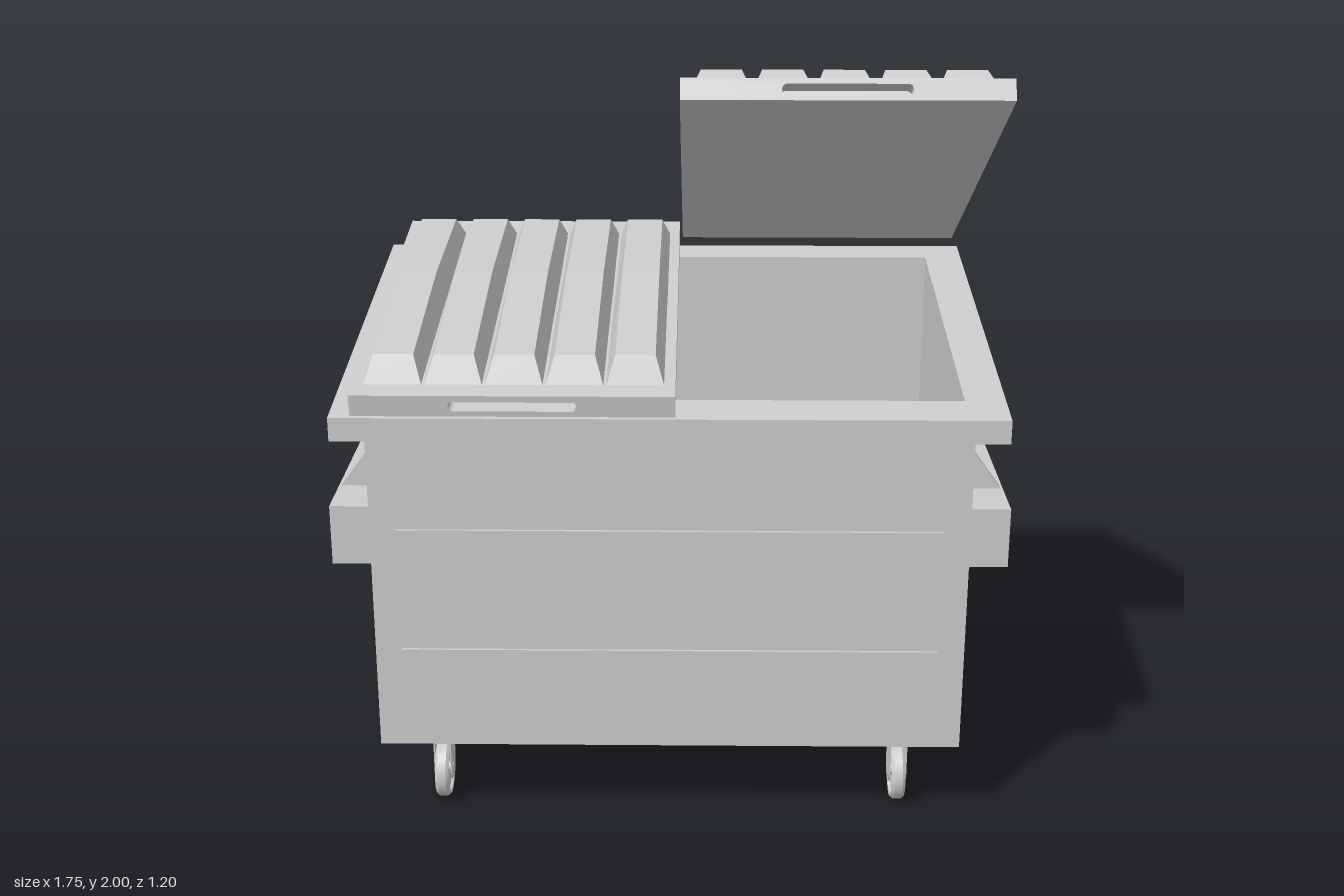
import * as THREE from 'three';
import { toCreasedNormals } from 'three/addons/utils/BufferGeometryUtils.js';

const mat = new THREE.MeshStandardMaterial({ color: 0xcccccc, side: THREE.DoubleSide });
const SLOPE = 0.13;                       // the top falls toward the front
const topY = z => 1.25 - SLOPE * z;

function add(parent, name, geo, x = 0, y = 0, z = 0) {
  const m = new THREE.Mesh(geo, mat);
  m.name = name;
  m.position.set(x, y, z);
  parent.add(m);
  return m;
}

function polygon(points) {
  return new THREE.Shape(points.map(p => new THREE.Vector2(p[0], p[1])));
}

const rect = (x0, y0, x1, y1) => [[x0, y0], [x1, y0], [x1, y1], [x0, y1]];

// Rectangular ring in plan, standing from 0 to h
function ring(halfX, zBack, zFront, h) {
  const s = polygon(rect(-halfX, -zFront, halfX, -zBack));
  s.holes.push(polygon(rect(-0.75, -0.49, 0.75, 0.465)));
  const g = new THREE.ExtrudeGeometry(s, { depth: h, bevelEnabled: false });
  return g.rotateX(-Math.PI / 2);
}

// Replace each vertex height by a rule of height and depth
function reheight(g, rule) {
  const p = g.attributes.position;
  for (let i = 0; i < p.count; i++) p.setY(i, rule(p.getY(i), p.getZ(i)));
  g.computeVertexNormals();
  return g;
}

// Raised lid rib: three trapezoid sections lofted along z
function ribGeometry() {
  const sections = [[0.095, 0.14, 0.117], [0.605, 0.605, 0.141], [1.145, 1.095, 0.12]];
  const pos = [], idx = [];
  for (const [zBase, zTop, y] of sections) {
    pos.push(-0.075, 0.05, zBase, -0.051, y, zTop, 0.051, y, zTop, 0.075, 0.05, zBase);
  }
  for (let s = 0; s < 2; s++) {
    for (let k = 0; k < 3; k++) {
      const a = s * 4 + k, b = a + 1, c = a + 4, d = a + 5;
      idx.push(a, c, b, b, c, d);
    }
  }
  idx.push(0, 1, 2, 0, 2, 3, 8, 10, 9, 8, 11, 10);
  const g = new THREE.BufferGeometry();
  g.setAttribute('position', new THREE.Float32BufferAttribute(pos, 3));
  g.setIndex(idx);
  const flat = g.toNonIndexed();
  flat.computeVertexNormals();
  return flat;
}

// Lid hinged at its rear lower edge, running forward along +z
function makeLid(name) {
  const lid = new THREE.Group();
  lid.name = name;
  const W = 0.815, L = 1.205, T = 0.057, lip = 0.05;
  add(lid, 'lidPanel', new THREE.BoxGeometry(W, T, L - lip), 0, T / 2, (L - lip) / 2);
  // front lip with a rounded grip slot
  const s = polygon(rect(-W / 2, 0, W / 2, T));
  const slot = new THREE.Path(), r = 0.014, hx = 0.146;
  slot.absarc(hx, T / 2, r, -Math.PI / 2, Math.PI / 2, false);
  slot.absarc(-hx, T / 2, r, Math.PI / 2, Math.PI * 1.5, false);
  slot.closePath();
  s.holes.push(slot);
  add(lid, 'lidGripEdge', new THREE.ExtrudeGeometry(s, { depth: lip, bevelEnabled: false, curveSegments: 8 }), 0, 0, L - lip);
  const rib = ribGeometry();
  for (let i = -2; i <= 2; i++) add(lid, 'lidRib', rib, i * 0.153, 0, 0);
  return lid;
}

function makeCaster() {
  const caster = new THREE.Group();
  caster.name = 'caster';
  const R = 0.081;
  const profile = [[0, -0.011], [0.064, -0.011], [0.067, -0.018], [0.074, -0.019], [R, -0.011],
    [R, 0.011], [0.074, 0.019], [0.067, 0.018], [0.064, 0.011], [0, 0.011]];
  const wheel = new THREE.LatheGeometry(profile.map(p => new THREE.Vector2(p[0], p[1])), 32);
  add(caster, 'wheel', toCreasedNormals(wheel.rotateZ(Math.PI / 2), 0.6), 0, R, 0);
  add(caster, 'axle', new THREE.CylinderGeometry(0.014, 0.014, 0.05, 16).rotateZ(Math.PI / 2), 0, R, 0);
  // two fork plates with round lower ends
  const s = new THREE.Shape();
  s.moveTo(0.042, 0.227);
  s.lineTo(-0.042, 0.227);
  s.lineTo(-0.042, 0.092);
  s.absarc(0, 0.092, 0.042, Math.PI, Math.PI * 2, false);
  s.closePath();
  const plate = new THREE.ExtrudeGeometry(s, { depth: 0.004, bevelEnabled: false, curveSegments: 16 });
  plate.rotateY(Math.PI / 2);
  for (const x of [-0.024, 0.02]) add(caster, 'forkPlate', plate, x, 0, 0);
  add(caster, 'forkTop', new THREE.BoxGeometry(0.048, 0.006, 0.084), 0, 0.223, 0);
  return caster;
}

export function createModel() {
  const model = new THREE.Group();
  model.name = 'wasteContainer';

  // hollow body with sloping top, floor and rim
  const walls = reheight(ring(0.775, -0.5, 0.545, 1), (y, z) => (y > 0.5 ? topY(z) - 0.03 : 0.225));
  add(model, 'bodyWalls', walls);
  add(model, 'floor', new THREE.BoxGeometry(1.53, 0.02, 1.02), 0, 0.236, 0.02);
  add(model, 'rim', reheight(ring(0.855, -0.557, 0.6, 0.062), (y, z) => topY(z) - 0.062 + y));

  // front stiffening bars
  for (const y of [0.832, 0.492]) {
    add(model, 'frontBar', new THREE.BoxGeometry(1.41, 0.034, 0.02), 0, y, 0.543);
  }

  // side lifting sleeves with gussets above and below
  for (const side of [-1, 1]) {
    const sleeve = new THREE.Group();
    sleeve.name = side > 0 ? 'leftSleeve' : 'rightSleeve';
    add(sleeve, 'sleeveBox', new THREE.BoxGeometry(0.105, 0.16, 1.045), side * 0.8225, 0.832, 0.0225);
    const gussets = [
      [[0.77, 0.91], [0.87, 0.91], [0.783, 1.03], [0.77, 1.03]],
      [[0.77, 0.754], [0.87, 0.754], [0.783, 0.67], [0.77, 0.67]]
    ];
    for (const pts of gussets) {
      const shape = polygon(pts.map(p => [p[0] * side, p[1]]));
      const g = new THREE.ExtrudeGeometry(shape, { depth: 0.026, bevelEnabled: false });
      for (const z of [0.385, 0.008, -0.33]) add(sleeve, 'gusset', g, 0, 0, z - 0.013);
    }
    model.add(sleeve);
  }

  // casters
  for (const x of [-0.625, 0.625]) {
    for (const z of [0.41, -0.37]) {
      const c = makeCaster();
      c.position.set(x, 0, z);
      model.add(c);
    }
  }

  // right lid closed, left lid propped open
  const closed = makeLid('closedLid');
  closed.position.set(-0.392, 1.331, -0.6);
  closed.rotation.x = Math.atan(SLOPE);
  const open = makeLid('openLid');
  open.position.set(0.432, 1.345, -0.568);
  open.rotation.x = -0.525;
  model.add(closed, open);
  return model;
}
